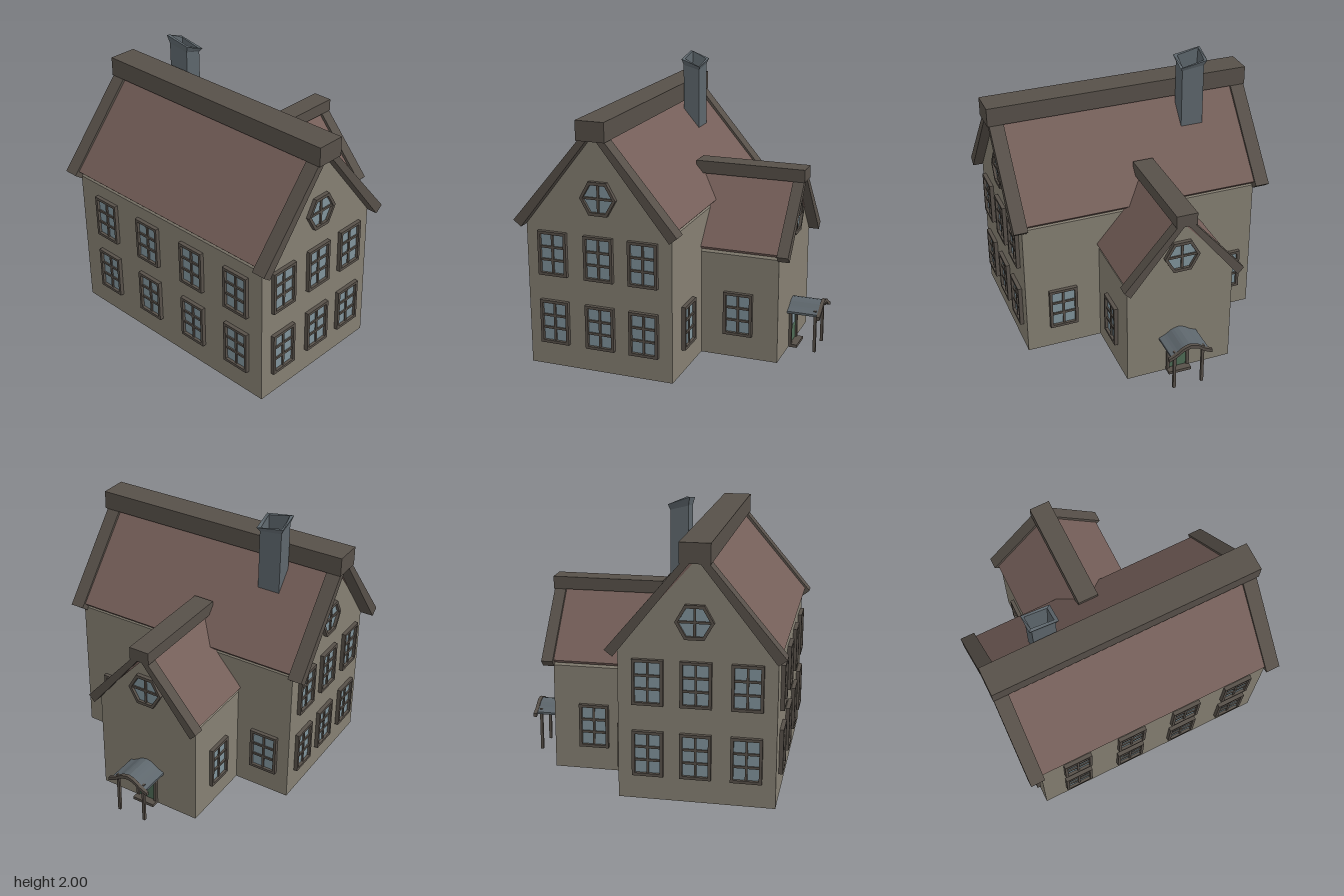
import * as THREE from 'three';

const mat = (color) => new THREE.MeshStandardMaterial({ color, flatShading: true });

export function createModel() {
  const house = new THREE.Group();
  house.name = 'house';
  const wall = mat(0x857f72), trim = mat(0x575049), tile = mat(0x755f59);
  const glass = mat(0x80939b), slate = mat(0x5d666c), green = mat(0x4d6a55);

  const add = (parent, name, geometry, material) => {
    const mesh = new THREE.Mesh(geometry, material);
    mesh.name = name;
    parent.add(mesh);
    return mesh;
  };
  const box = (parent, name, material, x0, x1, y0, y1, z0, z1) =>
    add(parent, name, new THREE.BoxGeometry(x1 - x0, y1 - y0, z1 - z0), material)
      .position.set((x0 + x1) / 2, (y0 + y1) / 2, (z0 + z1) / 2);
  const points = (list) => list.map(([x, y]) => new THREE.Vector2(x, y));
  // Outline (with optional hole) extruded from z0 to z1
  const prism = (parent, name, material, outline, z0, z1, hole) => {
    const shape = new THREE.Shape(points(outline));
    if (hole) shape.holes.push(new THREE.Path(points(hole)));
    const geometry = new THREE.ExtrudeGeometry(shape, { depth: z1 - z0, bevelEnabled: false });
    return add(parent, name, geometry.translate(0, 0, z0), material);
  };
  // Symmetric upside-down V: lower tips and peaks of its outer and inner lines
  const chevron = ([ho, yo], outerPeak, [hi, yi], innerPeak) =>
    [[ho, yo], [0, outerPeak], [-ho, yo], [-hi, yi], [0, innerPeak], [hi, yi]];

  // Main block, built with its ridge along local z and turned onto x
  const main = new THREE.Group();
  main.name = 'mainBlock';
  main.rotation.y = Math.PI / 2;
  main.position.z = 0.37;
  house.add(main);
  prism(main, 'mainWalls', wall,
    [[-0.53, 0], [0.525, 0], [0.525, 1.03], [0, 1.7], [-0.53, 1.03]], -0.875, 0.885);
  prism(main, 'mainRoof', tile, chevron([0.555, 1.075], 1.725, [0.53, 1.05], 1.66), -0.88, 0.88);
  const mainBarge = chevron([0.59, 1.055], 1.757, [0.535, 1.012], 1.69);
  prism(main, 'bargeBoard', trim, mainBarge, 0.855, 0.957);
  prism(main, 'bargeBoard', trim, mainBarge, -0.972, -0.868);
  box(main, 'mainRidge', trim, -0.102, 0.102, 1.645, 1.78, -0.976, 0.972);

  // Rear wing, ridge along z
  const wing = new THREE.Group();
  wing.name = 'rearWing';
  wing.position.x = -0.065;
  house.add(wing);
  prism(wing, 'wingWalls', wall,
    [[-0.39, 0], [0.393, 0], [0.393, 0.76], [0, 1.255], [-0.39, 0.76]], -0.718, -0.1);
  prism(wing, 'wingRoof', tile, chevron([0.408, 0.8], 1.275, [0.39, 0.78], 1.22), -0.725, 0);
  prism(wing, 'wingBargeBoard', trim, chevron([0.44, 0.798], 1.308, [0.396, 0.752], 1.25), -0.793, -0.712);
  box(wing, 'wingRidge', trim, -0.077, 0.073, 1.232, 1.322, -0.798, 0);

  // Windows: framed outline with glass and glazing bars, facing local +z
  const makeWindow = (name, outline, inset, halfW, halfH, rows, x, y, z, turn) => {
    const win = new THREE.Group();
    win.name = name;
    const inner = outline.map(([px, py]) => [px * (1 - inset / halfW), py * (1 - inset / halfH)]);
    prism(win, 'windowFrame', trim, outline, -0.01, 0.028, inner);
    prism(win, 'windowGlass', glass, inner, -0.01, 0.008);
    box(win, 'glazingBar', trim, -0.008, 0.008, inset - halfH, halfH - inset, 0, 0.018);
    for (let i = 1; i < rows; i++) {
      const by = (halfH - inset) * (2 * i / rows - 1);
      box(win, 'glazingBar', trim, inset - halfW, halfW - inset, by - 0.008, by + 0.008, 0, 0.018);
    }
    win.position.set(x, y, z);
    win.rotation.y = turn;
    house.add(win);
  };
  const rect = [[-0.105, -0.157], [0.105, -0.157], [0.105, 0.157], [-0.105, 0.157]];
  const hexagon = Array.from({ length: 6 }, (_, i) =>
    [0.13 * Math.cos(i * Math.PI / 3), 0.133 * Math.sin(i * Math.PI / 3)]);
  const sash = (...place) => makeWindow('sashWindow', rect, 0.02, 0.105, 0.157, 3, ...place);
  const hexWindow = (...place) => makeWindow('hexWindow', hexagon, 0.022, 0.13, 0.115, 2, ...place);
  const quarter = Math.PI / 2;

  for (const x of [-0.6, -0.175, 0.255, 0.665])
    for (const y of [0.332, 0.78]) sash(x, y, 0.9, 0);
  for (const [x, side] of [[0.885, 1], [-0.875, -1]]) {
    for (const z of [0.705, 0.367, 0.047])
      for (const y of [0.328, 0.824]) sash(x, y, z, side * quarter);
    hexWindow(x, 1.245, 0.357, side * quarter);
  }
  sash(-0.68, 0.33, -0.155, Math.PI);
  sash(0.61, 0.33, -0.155, Math.PI);
  sash(0.328, 0.33, -0.43, quarter);
  sash(-0.455, 0.33, -0.43, -quarter);
  hexWindow(-0.065, 0.96, -0.718, Math.PI);

  // Chimney: rectangular rings joined in order, up the outside and down the flue
  const rings = [ // x0, x1, z0, z1, mean height, tilt
    [-0.585, -0.42, 0.14, 0.26, 1.35, 0],
    [-0.585, -0.42, 0.14, 0.26, 1.915, 0.6],
    [-0.605, -0.4, 0.127, 0.27, 1.957, 1],
    [-0.585, -0.425, 0.143, 0.25, 1.957, 1],
    [-0.565, -0.44, 0.155, 0.245, 1.6, 0],
  ];
  const pos = [], index = [];
  rings.forEach(([x0, x1, z0, z1, h, t], r) => {
    for (const [x, z] of [[x0, z1], [x1, z1], [x1, z0], [x0, z0]])
      pos.push(x, h + t * ((z > 0.2 ? 0.026 : -0.026) + (x < -0.5 ? 0.017 : -0.017)), z);
    if (r) for (let i = 0; i < 4; i++) {
      const a = (r - 1) * 4 + i, b = (r - 1) * 4 + (i + 1) % 4;
      index.push(a, b, b + 4, a, b + 4, a + 4);
    }
  });
  index.push(16, 17, 18, 16, 18, 19); // flue floor
  const flue = new THREE.BufferGeometry();
  flue.setAttribute('position', new THREE.Float32BufferAttribute(pos, 3));
  flue.setIndex(index);
  const chimney = flue.toNonIndexed();
  chimney.computeVertexNormals();
  add(house, 'chimney', chimney, slate);

  // Porch: bell-curved canopy on posts over the back door
  const porch = new THREE.Group();
  porch.name = 'porch';
  porch.position.x = -0.05;
  house.add(porch);
  const bell = (half, top, low, thick) => {
    const right = new THREE.SplineCurve(points([[0, top], [half * 0.33, top - (top - low) * 0.2],
      [half * 0.66, top - (top - low) * 0.68], [half, low]])).getPoints(8).map((p) => [p.x, p.y]);
    const upper = [...right.slice(1).reverse(), ...right.map(([x, y]) => [-x, y])];
    return [...upper, ...upper.map(([x, y]) => [x, y - thick]).reverse()];
  };
  prism(porch, 'canopy', slate, bell(0.14, 0.362, 0.298, 0.016), -0.945, -0.71);
  prism(porch, 'canopyTrim', trim, bell(0.162, 0.37, 0.292, 0.026), -0.96, -0.935);
  for (const x of [-0.105, 0.105]) {
    box(porch, 'porchPost', trim, x - 0.01, x + 0.01, 0, 0.315, -0.925, -0.905);
    box(porch, 'porchBeam', trim, x - 0.01, x + 0.01, 0.285, 0.303, -0.94, -0.715);
  }
  box(porch, 'door', green, -0.065, 0.065, 0.02, 0.265, -0.726, -0.71);
  box(porch, 'doorGlass', glass, -0.035, 0.035, 0.15, 0.24, -0.729, -0.715);
  for (const s of [-1, 1])
    box(porch, 'doorJamb', trim, s * 0.074 - 0.011, s * 0.074 + 0.011, 0, 0.28, -0.738, -0.71);
  box(porch, 'doorLintel', trim, -0.085, 0.085, 0.262, 0.284, -0.738, -0.71);
  box(porch, 'doorStep', trim, -0.085, 0.085, 0, 0.022, -0.78, -0.71);

  return house;
}
